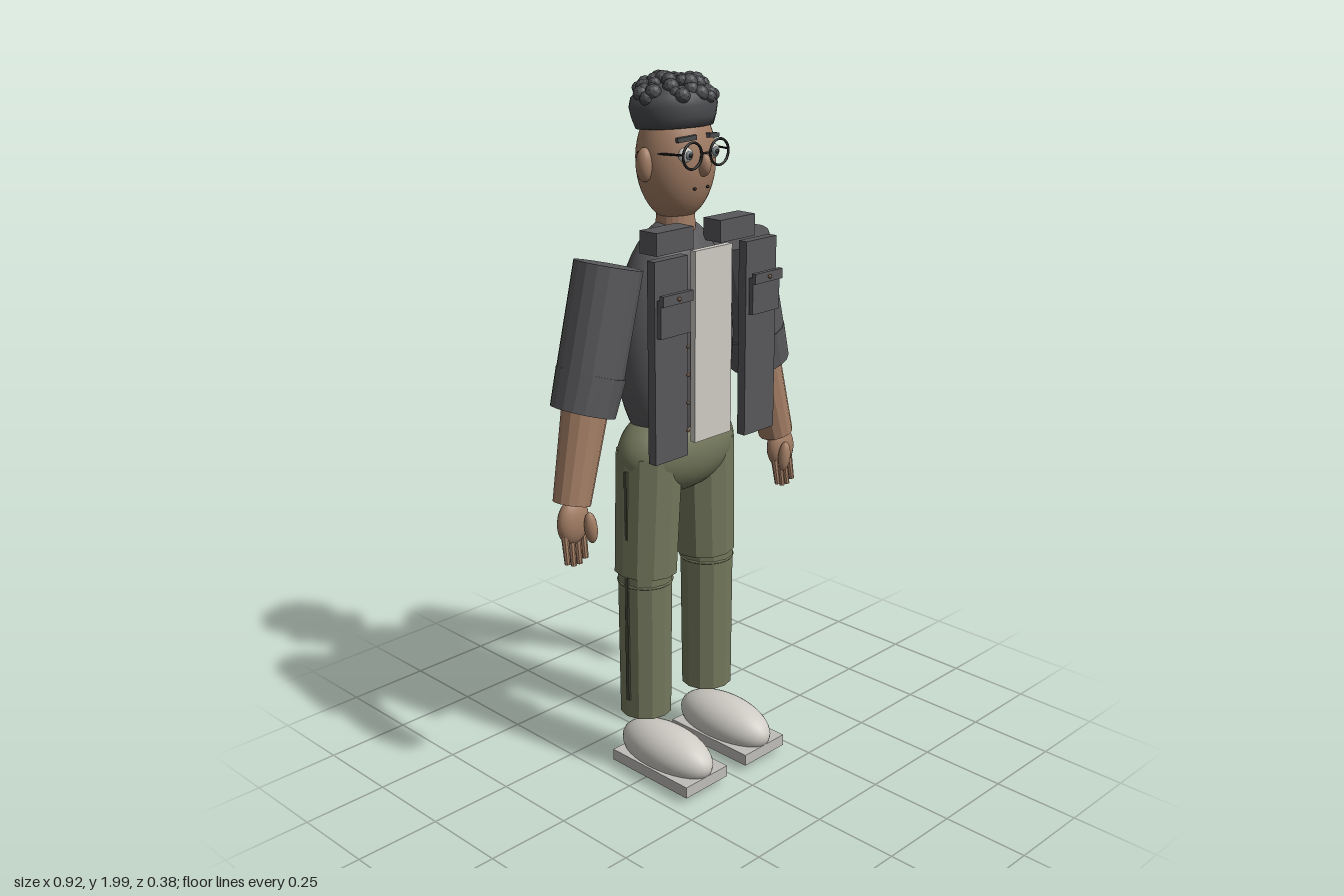
import * as THREE from 'three';

const mat = (name, color) => {
  const m = new THREE.MeshStandardMaterial({ color });
  m.name = name;
  return m;
};

export function createModel() {
  const jacket = mat('charcoal jacket', 0x58585b);
  const hair = mat('dark hair', 0x4a4b4e);
  const skin = mat('brown skin', 0xa37e65);
  const pants = mat('olive trousers', 0x74785c);
  const seam = mat('dark olive seam', 0x45483a);
  const light = mat('off white', 0xcfccc5);
  const sole = mat('sole grey', 0xc0beba);
  const black = mat('black frames', 0x1e1e20);
  const iris = mat('grey iris', 0x6f7a80);
  const button = mat('brown button', 0x6b5240);

  const model = new THREE.Group();
  model.name = 'standingMan';
  const V = (x, y, z) => new THREE.Vector3(x, y, z);

  function add(name, geo, material, x = 0, y = 0, z = 0) {
    const mesh = new THREE.Mesh(geo, material);
    mesh.name = name;
    mesh.position.set(x, y, z);
    model.add(mesh);
    return mesh;
  }
  function flat(geo) {
    const g = geo.index ? geo.toNonIndexed() : geo;
    g.computeVertexNormals();
    return g;
  }
  const box = (name, m, w, h, d, x, y, z) => add(name, new THREE.BoxGeometry(w, h, d), m, x, y, z);
  function ball(name, m, rx, ry, rz, x, y, z, seg = 32) {
    const mesh = add(name, new THREE.SphereGeometry(1, seg, Math.round(seg * 0.7)), m, x, y, z);
    mesh.scale.set(rx, ry, rz);
    return mesh;
  }
  // Faceted cylinder running from the upper point a down to b
  function limb(name, m, a, b, ra, rb, sides = 14) {
    const geo = flat(new THREE.CylinderGeometry(ra, rb, a.distanceTo(b), sides));
    const mid = a.clone().add(b).multiplyScalar(0.5);
    const mesh = add(name, geo, m, mid.x, mid.y, mid.z);
    mesh.quaternion.setFromUnitVectors(V(0, 1, 0), a.clone().sub(b).normalize());
    return mesh;
  }

  // Trunk
  ball('torso', jacket, 0.19, 0.34, 0.13, 0, 1.27, -0.06, 40);
  ball('pelvis', pants, 0.2, 0.13, 0.115, 0, 0.965, -0.055, 36);
  box('shirtFront', light, 0.14, 0.525, 0.018, 0, 1.283, 0.078);
  limb('neck', skin, V(0, 1.66, -0.055), V(0, 1.55, -0.055), 0.05, 0.056, 20);

  // Head
  ball('head', skin, 0.111, 0.165, 0.102, 0, 1.762, -0.053, 36);
  ball('nose', skin, 0.017, 0.032, 0.025, 0, 1.757, 0.047, 16);

  // Hair cap with scattered curls
  const capPoints = [[0, 1.845], [0.106, 1.845], [0.115, 1.87], [0.121, 1.9], [0.114, 1.925], [0.085, 1.948], [0.045, 1.96], [0, 1.963]]
    .map(([x, y]) => new THREE.Vector2(x, y - 1.9));
  const cap = add('hairCap', new THREE.LatheGeometry(capPoints, 32), hair, 0, 1.9, -0.062);
  cap.scale.z = 0.93;
  cap.rotation.x = -0.08;
  const curl = flat(new THREE.IcosahedronGeometry(1, 1));
  const count = 54;
  for (let i = 0; i < count; i++) {
    const t = (i + 0.5) / count;
    const r = Math.sqrt(t) * 0.108;
    const a = i * 2.39996 + 0.25 * Math.sin(i * 5.3);
    const y = 1.962 - 0.043 * t * t + 0.007 * Math.sin(i * 3.7);
    const c = add('curl', curl, hair, r * Math.cos(a), y, -0.06 + r * Math.sin(a) * 0.97);
    c.scale.setScalar(0.02 + 0.003 * Math.sin(i * 2.1));
  }

  for (const s of [-1, 1]) {
    const side = s > 0 ? 'left' : 'right';

    // Face details and glasses
    ball(side + 'Ear', skin, 0.022, 0.045, 0.024, s * 0.113, 1.757, -0.055, 18);
    ball(side + 'Eye', light, 0.024, 0.02, 0.014, s * 0.049, 1.785, 0.032, 18);
    ball(side + 'Iris', iris, 0.012, 0.012, 0.006, s * 0.049, 1.785, 0.044, 14);
    ball(side + 'Pupil', black, 0.006, 0.006, 0.004, s * 0.049, 1.785, 0.049, 10);
    const brow = box(side + 'Brow', hair, 0.055, 0.012, 0.014, s * 0.048, 1.826, 0.033);
    brow.rotation.set(0, s * 0.3, -s * 0.1);
    add(side + 'GlassesRim', new THREE.TorusGeometry(0.034, 0.0035, 8, 28), black, s * 0.05, 1.785, 0.057);
    limb(side + 'GlassesTemple', black, V(s * 0.084, 1.79, 0.055), V(s * 0.113, 1.787, -0.08), 0.003, 0.003, 6);
    ball(side + 'MouthDot', black, 0.005, 0.004, 0.005, s * 0.024, 1.695, 0.04, 8);

    // Jacket front
    box(side + 'Collar', jacket, 0.135, 0.06, 0.062, s * 0.118, 1.575, 0.031);
    box(side + 'JacketPanel', jacket, 0.12, 0.545, 0.027, s * 0.171, 1.272, 0.087);
    box(side + 'Pocket', jacket, 0.107, 0.1, 0.014, s * 0.173, 1.395, 0.111);
    box(side + 'PocketFlap', jacket, 0.108, 0.028, 0.014, s * 0.173, 1.445, 0.121);
    ball(side + 'PocketButton', button, 0.006, 0.006, 0.005, s * 0.173, 1.445, 0.131, 10);

    // Arm
    const armZ = -0.057;
    limb(side + 'Sleeve', jacket, V(s * 0.243, 1.515, armZ), V(s * 0.317, 1.225, armZ), 0.092, 0.091, 18);
    limb(side + 'Cuff', jacket, V(s * 0.311, 1.24, armZ), V(s * 0.343, 1.14, armZ), 0.094, 0.088, 18);
    limb(side + 'Forearm', skin, V(s * 0.33, 1.18, -0.055), V(s * 0.404, 0.905, -0.04), 0.064, 0.051, 14);
    const palm = ball(side + 'Palm', skin, 0.05, 0.065, 0.03, s * 0.412, 0.86, -0.028, 20);
    palm.rotation.z = s * 0.1;
    for (let i = 0; i < 4; i++) {
      const x = 0.382 + i * 0.021;
      const end = 0.742 + (i === 0 || i === 3 ? 0.01 : 0);
      limb(side + 'Finger', skin, V(s * x, 0.83, -0.024), V(s * (x + 0.003), end, -0.012), 0.0105, 0.008, 8);
    }
    const thumb = ball(side + 'Thumb', skin, 0.018, 0.045, 0.018, s * 0.385, 0.845, 0.012, 14);
    thumb.rotation.z = -s * 0.12;

    // Leg
    limb(side + 'Thigh', pants, V(s * 0.103, 0.97, -0.057), V(s * 0.118, 0.62, -0.06), 0.095, 0.09, 12);
    limb(side + 'Shin', pants, V(s * 0.124, 0.66, -0.056), V(s * 0.126, 0.185, -0.056), 0.079, 0.075, 12);
    const crease = add(side + 'KneeCrease', new THREE.TorusGeometry(0.076, 0.004, 6, 24), pants, s * 0.124, 0.595, -0.056);
    crease.rotation.x = Math.PI / 2;
    box(side + 'ThighSeam', seam, 0.01, 0.2, 0.01, s * 0.198, 0.835, -0.05);
    box(side + 'ShinSeam', seam, 0.01, 0.39, 0.012, s * 0.199, 0.435, -0.05);

    // Shoe
    ball(side + 'Shoe', light, 0.08, 0.077, 0.168, s * 0.122, 0.077, 0.026, 32);
    box(side + 'Sole', sole, 0.166, 0.034, 0.3, s * 0.122, 0.037, 0.036);
  }

  // Glasses bridge and jacket buttons
  limb('glassesBridge', black, V(-0.017, 1.788, 0.058), V(0.017, 1.788, 0.058), 0.003, 0.003, 6);
  for (let i = 0; i < 5; i++) ball('jacketButton', button, 0.005, 0.005, 0.005, -0.112, 1.07 + i * 0.077, 0.102, 10);

  return model;
}
